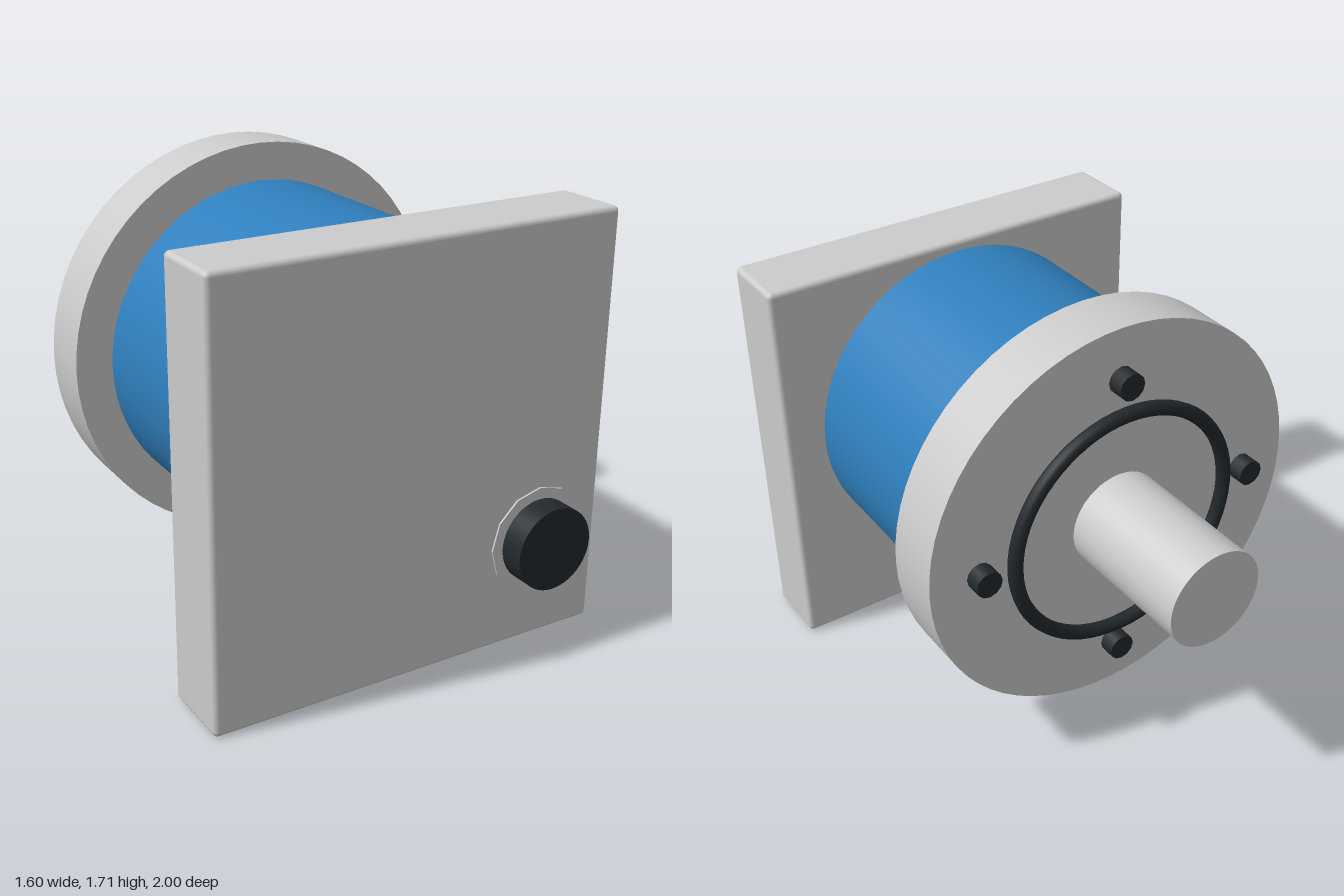
import * as THREE from 'three';
import { RoundedBoxGeometry } from 'three/addons/geometries/RoundedBoxGeometry.js';

const AXIS_Y = 0.925; // height of the motor axis

export function createModel() {
  const model = new THREE.Group();
  const grey = new THREE.MeshStandardMaterial({ color: 0xcccccc });
  const blue = new THREE.MeshStandardMaterial({ color: 0x2f7fbd });
  const black = new THREE.MeshStandardMaterial({ color: 0x22282c });

  const add = (name, geometry, material, x, y, z) => {
    const mesh = new THREE.Mesh(geometry, material);
    mesh.name = name;
    mesh.position.set(x, y, z);
    model.add(mesh);
    return mesh;
  };

  // Cylinder along z, spanning zBack to zFront
  const disc = (name, radius, zBack, zFront, material, x = 0, y = AXIS_Y, sides = 64) => {
    const geometry = new THREE.CylinderGeometry(radius, radius, zFront - zBack, sides);
    geometry.rotateX(Math.PI / 2);
    return add(name, geometry, material, x, y, (zBack + zFront) / 2);
  };

  // Square mounting plate with softly rounded edges
  add('mountingPlate', new RoundedBoxGeometry(1.6, 1.605, 0.29, 3, 0.02), grey, 0, 0.8025, 0.752);

  // Motor body, rear flange and output shaft
  disc('motorBody', 0.64, -0.215, 0.61, blue);
  disc('rearFlange', 0.785, -0.445, -0.215, grey);
  disc('shaft', 0.19, -1, -0.44, grey);

  // Sealing ring raised off the flange
  add('sealRing', new THREE.TorusGeometry(0.467, 0.028, 12, 64), black, 0, AXIS_Y, -0.488);

  // Four bolts around the flange
  for (let i = 0; i < 4; i++) {
    const a = (i * Math.PI) / 2;
    disc('flangeBolt', 0.052, -0.51, -0.44, black,
      0.585 * Math.cos(a), AXIS_Y + 0.585 * Math.sin(a), 12);
  }

  // Cable connector and its twelve-sided collar on the front of the plate
  const collar = disc('connectorCollar', 0.205, 0.885, 0.904, grey, 0.525, 0.4, 12);
  collar.material = grey.clone();
  collar.material.flatShading = true;
  disc('connector', 0.16, 0.89, 1, black, 0.525, 0.4, 48);

  return model;
}
